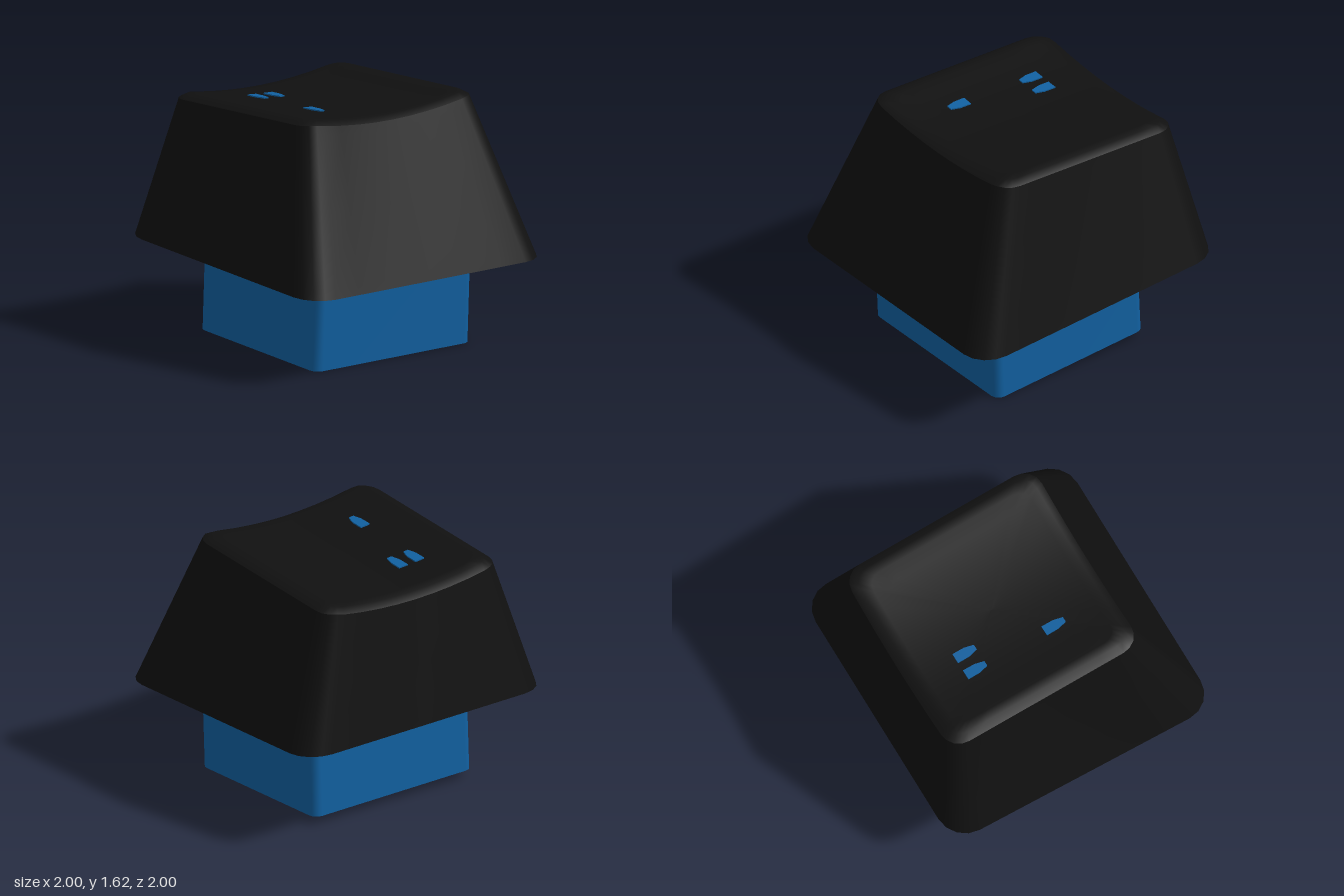
import * as THREE from 'three';

const BASE_Y = 0.587;

// Height of the dished, sloping top of the cap
const dish = (x, z) => 1.575 + 0.1 * z - 0.055 * Math.max(0, 1 - (x / 0.6) ** 2);

// Rounded rectangle loop in the ground plane; a, b are half sizes
function ring(a, b, r, cz, height, corner = 4, edge = 8) {
  const loop = [];
  const at = (k, j) => {
    const t = (k + j / corner) * Math.PI / 2;
    const sx = k === 0 || k === 3 ? 1 : -1, sz = k < 2 ? 1 : -1;
    return [sx * (a - r) + r * Math.cos(t), cz + sz * (b - r) + r * Math.sin(t)];
  };
  for (let k = 0; k < 4; k++) {
    for (let j = 0; j <= corner; j++) loop.push(at(k, j));
    const p = at(k, corner), q = at((k + 1) % 4, 0);
    for (let j = 1; j < edge; j++) {
      const t = j / edge;
      loop.push([p[0] + (q[0] - p[0]) * t, p[1] + (q[1] - p[1]) * t]);
    }
  }
  return loop.map(([x, z]) => new THREE.Vector3(x, height(x, z), z));
}

// Skin a stack of loops, each with the same number of points
function loft(rings) {
  const n = rings[0].length, index = [];
  for (let i = 0; i < rings.length - 1; i++) {
    for (let j = 0; j < n; j++) {
      const a = i * n + j, b = i * n + (j + 1) % n;
      index.push(a, a + n, b, b, a + n, b + n);
    }
  }
  const g = new THREE.BufferGeometry().setFromPoints(rings.flat());
  g.setIndex(index);
  g.computeVertexNormals();
  return g;
}

export function createModel() {
  const black = new THREE.MeshStandardMaterial({ color: 0x101010 });
  const blue = new THREE.MeshStandardMaterial({ color: 0x1160a0, side: THREE.DoubleSide });
  const model = new THREE.Group();
  const body = new THREE.Group();
  body.name = 'keySwitch';
  body.rotation.set(0.046, -0.06, 0, 'YXZ');
  body.position.y = 0.03;
  model.add(body);

  const add = (name, geometry, material) => {
    const mesh = new THREE.Mesh(geometry, material);
    mesh.name = name;
    body.add(mesh);
    return mesh;
  };

  // Tapered cap walls
  const base = ring(0.955, 0.955, 0.19, -0.027, () => BASE_Y);
  const shoulder = ring(0.685, 0.69, 0.13, -0.19, (x, z) => dish(x, z) - 0.03);
  const between = t => base.map((p, i) => p.clone().lerp(shoulder[i], t));
  add('capWalls', loft([base, between(0.05), between(0.5), between(0.95), shoulder]), black);

  // Bevelled rim and dished top
  const rim = ring(0.635, 0.64, 0.1, -0.19, dish);
  const inner = [0.9, 0.75, 0.6, 0.45, 0.3, 0.15, 0].map(s => rim.map(p => {
    const x = p.x * s, z = -0.19 + (p.z + 0.19) * s;
    return new THREE.Vector3(x, dish(x, z), z);
  }));
  add('capTop', loft([shoulder, rim, ...inner]), black);

  // Flat underside of the cap
  const middle = base.map(() => new THREE.Vector3(0, BASE_Y, -0.027));
  add('capUnderside', loft([middle, base]), black);

  // Thin-walled housing, open below and closed at the cap
  const sleeve = y => ring(0.627, 0.59, 0.06, -0.01, () => y, 4, 1);
  add('housingWalls', loft([sleeve(0), sleeve(BASE_Y - 0.006)]), blue);
  const lid = sleeve(BASE_Y - 0.006);
  add('housingLid', loft([lid, lid.map(() => new THREE.Vector3(0, BASE_Y - 0.006, -0.01))]), blue);

  // Tapered painted ticks on the top
  const tick = new THREE.Shape([[-0.035, 0.073], [0.035, 0.073], [0.034, -0.01], [0.018, -0.073],
    [-0.018, -0.073], [-0.034, -0.01]].map(p => new THREE.Vector2(...p)));
  for (const [x, z] of [[-0.295, -0.477], [-0.165, -0.477], [-0.3, 0.09]]) {
    const g = new THREE.ExtrudeGeometry(tick, { depth: 0.008, bevelEnabled: false });
    g.rotateX(-Math.PI / 2).translate(x, 0, z);
    const pos = g.attributes.position;
    for (let i = 0; i < pos.count; i++) {
      pos.setY(i, pos.getY(i) + dish(pos.getX(i), pos.getZ(i)) + 0.008);
    }
    g.computeVertexNormals();
    add('topTick', g, blue);
  }
  return model;
}
